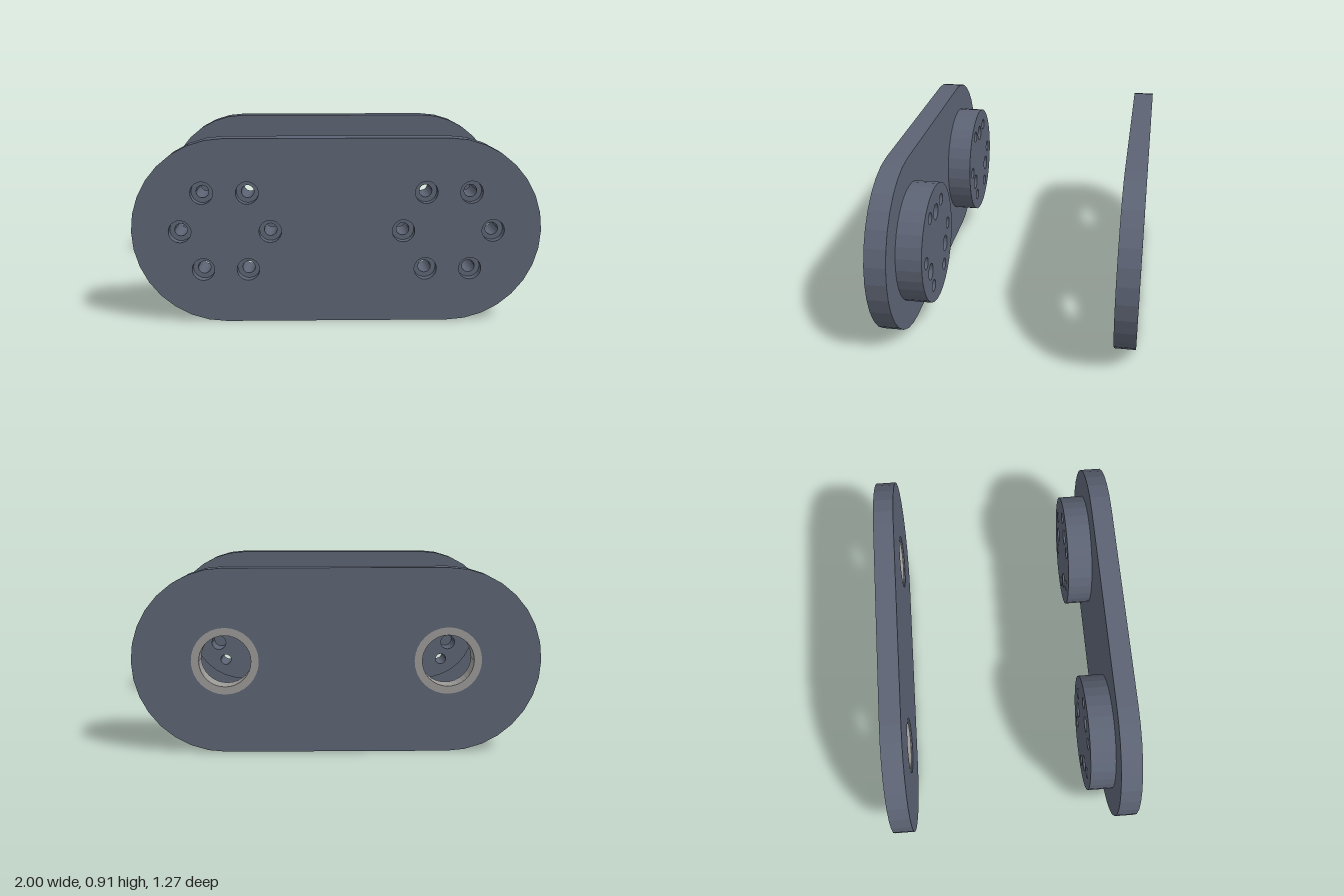
import * as THREE from 'three';

const R = 0.455;      // plate end radius, also the centre height
const CX = 0.545;     // centre of each plate end
const steel = new THREE.MeshStandardMaterial({ color: 0x5c6373 });
steel.name = 'blueGreySteel';
const bushMetal = new THREE.MeshStandardMaterial({ color: 0x9a9996 });
bushMetal.name = 'bushingGrey';

// Points on an arc, around (x, y)
function arc(x, y, r, start, sweep, n, closed) {
  const pts = [];
  for (let i = 0; i < n + (closed ? 0 : 1); i++) {
    const a = start + (sweep * i) / n;
    pts.push(new THREE.Vector2(x + r * Math.cos(a), y + r * Math.sin(a)));
  }
  return pts;
}
const circle = (x, y, r, n = 32) => arc(x, y, r, 0, Math.PI * 2, n, true);

// Rounded-end plate outline
const stadium = () => [
  ...arc(CX, R, R, -Math.PI / 2, Math.PI, 16),
  ...arc(-CX, R, R, Math.PI / 2, Math.PI, 16),
];

// Ring of hole centres around (x, R)
const ringOf = (x, r, n, start) => arc(x, R, r, start, Math.PI * 2, n, true);

// Flat slab with holes, between two z values
function slab(name, outline, holes, z0, z1, material) {
  const shape = new THREE.Shape(outline);
  shape.holes = holes.map((pts) => new THREE.Path(pts));
  const geo = new THREE.ExtrudeGeometry(shape, { depth: z1 - z0, bevelEnabled: false });
  geo.translate(0, 0, z0);
  const mesh = new THREE.Mesh(geo, material);
  mesh.name = name;
  return mesh;
}

export function createModel() {
  const model = new THREE.Group();
  model.name = 'linkPlates';
  const sides = [-CX, CX];

  // Front plate: bolt holes with counterbores opening to the front
  const bolts = sides.flatMap((x) => ringOf(x, 0.22, 6, 0));
  const boltHoles = (r) => bolts.map((p) => circle(p.x, p.y, r, 24));
  const front = new THREE.Group();
  front.name = 'frontPlate';
  front.add(
    slab('frontPlateInner', stadium(), boltHoles(0.031), 0.53, 0.59, steel),
    slab('frontPlateCounterbored', stadium(), boltHoles(0.055), 0.59, 0.637, steel),
  );
  model.add(front);

  // Bosses behind the front plate: six bolt holes and three blind dowel holes
  for (const x of sides) {
    const holes = [
      ...ringOf(x, 0.22, 6, 0).map((p) => circle(p.x, p.y, 0.031, 24)),
      ...ringOf(x, 0.174, 3, Math.PI / 2).map((p) => circle(p.x, p.y, 0.042, 24)),
    ];
    model.add(slab(x > 0 ? 'leftBoss' : 'rightBoss', circle(x, R, 0.308), holes, 0.4, 0.53, steel));
  }

  // Back plate with stepped bores
  const bores = (r) => sides.map((x) => circle(x, R, r));
  const back = new THREE.Group();
  back.name = 'backPlate';
  back.add(
    slab('backPlateInner', stadium(), bores(0.147), -0.61, -0.53, steel),
    slab('backPlateOuter', stadium(), bores(0.165), -0.637, -0.61, steel),
  );
  model.add(back);

  // Flanged bushings in the back plate
  for (const x of sides) {
    const bushing = new THREE.Group();
    bushing.name = x > 0 ? 'leftBushing' : 'rightBushing';
    bushing.add(
      slab('sleeve', circle(x, R, 0.147), [circle(x, R, 0.127)], -0.61, -0.537, bushMetal),
      slab('flange', circle(x, R, 0.165), [circle(x, R, 0.127)], -0.637, -0.61, bushMetal),
    );
    model.add(bushing);
  }
  return model;
}
